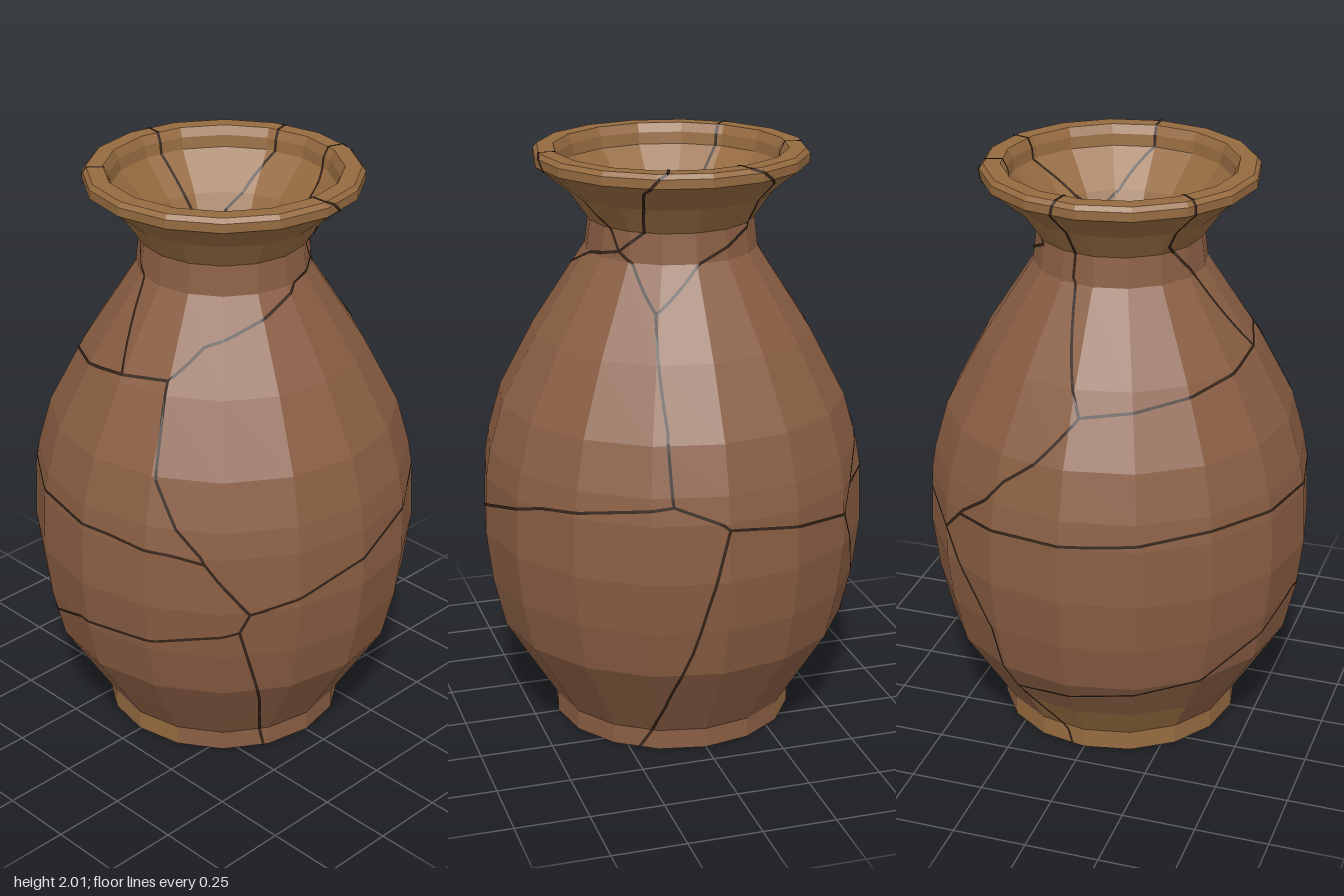
import * as THREE from 'three';

const SIDES = 16, STEP = (Math.PI * 2) / SIDES;
const paint = (name, color, extra = {}) =>
  Object.assign(new THREE.MeshStandardMaterial({ color, flatShading: true, ...extra }), { name });

// Pot outline as [radius, height]: up the outside, over the lip, down the inside
const PROFILE = [
  [0.415, 0], [0.415, 0.07], [0.49, 0.19], [0.595, 0.36], [0.635, 0.53], [0.657, 0.71],
  [0.65, 0.91], [0.635, 1.0], [0.59, 1.16], [0.47, 1.39], [0.29, 1.67], [0.278, 1.77],
  [0.34, 1.86], [0.43, 1.935], [0.458, 1.955], [0.458, 1.985], [0.445, 2.0],
  [0.39, 2.0], [0.375, 1.97], [0.37, 1.93], [0.26, 1.81], [0.23, 1.75],
  [0.25, 1.66], [0.43, 1.37], [0.55, 1.14], [0.61, 0.9], [0.61, 0.7], [0.55, 0.38], [0.38, 0.1], [0, 0.1],
];
const NECK = 11, LIP = 16, THROAT = 21;

// Flat-faced ring section between two outline points, over a range of sixteenths
function section(from, to, first = 0, count = SIDES) {
  const pts = PROFILE.slice(from, to + 1).map(([r, y]) => new THREE.Vector2(r, y));
  return new THREE.LatheGeometry(pts, count, first * STEP, count * STEP);
}

// Point on the faceted surface at angle a and outline position s
function surface(a, s) {
  const i = Math.min(Math.floor(s), PROFILE.length - 2), t = s - i;
  const [r0, y0] = PROFILE[i], [r1, y1] = PROFILE[i + 1];
  const local = (((a % STEP) + STEP) % STEP) - STEP / 2;
  const r = ((r0 + (r1 - r0) * t) * Math.cos(STEP / 2)) / Math.cos(local);
  return new THREE.Vector3(r * Math.sin(a), y0 + (y1 - y0) * t, r * Math.cos(a));
}

// Outline position on the outside wall for a height
function atHeight(y) {
  for (let i = 0; i < LIP; i++) {
    const y0 = PROFILE[i][1], y1 = PROFILE[i + 1][1];
    if (y <= y1) return i + (y - y0) / (y1 - y0);
  }
  return LIP;
}

// Narrow ribbon hugging the surface through [degrees, outline position] points
function crackGeometry(path) {
  const centre = [], normals = [], e = 1e-3;
  path.slice(1).forEach(([a1, s1], k) => {
    const [a0, s0] = path[k];
    const n = Math.ceil(Math.max(Math.abs(a1 - a0) / 2, Math.abs(s1 - s0) * 6, 2));
    for (let j = k ? 1 : 0; j <= n; j++) {
      const a = THREE.MathUtils.degToRad(a0 + ((a1 - a0) * j) / n), s = s0 + ((s1 - s0) * j) / n;
      const da = surface(a + e, s).sub(surface(a - e, s));
      const ds = surface(a, s + e).sub(surface(a, Math.max(s - e, 0)));
      const normal = da.cross(ds).normalize();
      normals.push(normal);
      centre.push(surface(a, s).addScaledVector(normal, 0.003));
    }
  });
  const pos = [], index = [];
  centre.forEach((p, i) => {
    const along = centre[Math.min(i + 1, centre.length - 1)].clone().sub(centre[Math.max(i - 1, 0)]);
    const side = along.cross(normals[i]).normalize().multiplyScalar(0.005);
    pos.push(...p.clone().sub(side).toArray(), ...p.clone().add(side).toArray());
    if (i) index.push(2 * i - 2, 2 * i - 1, 2 * i, 2 * i - 1, 2 * i + 1, 2 * i);
  });
  const g = new THREE.BufferGeometry();
  g.setAttribute('position', new THREE.Float32BufferAttribute(pos, 3));
  g.setIndex(index);
  g.computeVertexNormals();
  return g;
}

// Outside cracks as [degrees from the front, height]
const OUTER_CRACKS = [
  [[-37, 0.7], [0, 0.81], [74, 0.97], [90, 0.89], [135, 0.82]],
  [[-37, 0.7], [-40, 0.63], [-32, 0.3], [-27, 0.07], [-25, 0]],
  [[-40, 0.63], [-65, 0.57], [-94, 0.55], [-136, 0.36], [-203, 0.26]],
  [[-37, 0.7], [-50, 0.89], [-66, 1.15], [-68, 1.43], [-54, 1.53], [0, 1.65], [37, 1.7]],
  [[37, 1.7], [66, 1.53], [72, 1.2], [74, 0.97]],
  [[90, 0.89], [80, 0.45], [58, 0]],
  [[135, 0.82], [155, 0.52], [157, 0.26], [172, 0.05], [174, 0]],
  [[135, 0.82], [142, 0.9], [160, 1.08], [183, 1.31], [270, 1.41], [292, 1.43]],
  [[142, 0.9], [190, 0.92], [225, 0.95], [280, 0.93], [310, 0.89]],
  [[183, 1.31], [166, 1.69], [171, 2]],
  [[270, 1.41], [229, 1.8], [228, 2]],
  [[66, 1.53], [136, 1.76], [107, 2]],
  [[37, 1.7], [17, 1.86], [0, 2]],
  [[37, 1.7], [55, 1.77], [72, 2]],
];
// Cracks running over the lip and down the throat: [degrees at lip, degrees at throat]
const LIP_CRACKS = [[0, 38], [72, 40], [107, 135], [171, 162], [228, 235]];

export function createModel() {
  const model = new THREE.Group();
  const brown = paint('brown clay', 0x8a5e43);
  const tan = paint('tan clay', 0x966b40);
  const dark = paint('crack shadow', 0x35241a, { side: THREE.DoubleSide });
  const add = (name, geometry, material, parent = model) => {
    const mesh = new THREE.Mesh(geometry, material);
    mesh.name = name;
    parent.add(mesh);
    return mesh;
  };

  // Foot, with a tan shard at the back
  add('foot', section(0, 1, 13, 9), brown);
  add('footShard', section(0, 1, 6, 7), tan);
  add('lowerBody', section(1, 2, 10, 13), brown);
  add('lowerBodyShard', section(1, 2, 7, 3), tan);

  // Body, neck with lip, and hollow inside
  add('body', section(2, NECK), brown);
  add('neckAndLip', section(NECK, THROAT), tan);
  add('inside', section(THROAT, PROFILE.length - 1), brown);

  // Underside in two halves
  for (const [name, start, material] of [['baseHalf', 0, brown], ['baseShard', 8, tan]]) {
    const half = new THREE.LatheGeometry(
      [new THREE.Vector2(0, 0), new THREE.Vector2(0.415, 0)], 8, start * STEP, Math.PI);
    add(name, half, material);
  }

  // Cracks
  const cracks = new THREE.Group();
  cracks.name = 'cracks';
  model.add(cracks);
  OUTER_CRACKS.forEach((path) =>
    add('wallCrack', crackGeometry(path.map(([a, y]) => [a, atHeight(y)])), dark, cracks));
  LIP_CRACKS.forEach(([a, b]) =>
    add('lipCrack', crackGeometry([[a, LIP], [a, LIP + 3], [b, THROAT]]), dark, cracks));
  add('throatCrack', crackGeometry([[38, THROAT - 0.3], [0, THROAT - 0.1], [-18, THROAT]]), dark, cracks);
  const floorCrack = add('floorCrack', new THREE.BoxGeometry(0.012, 0.006, 0.5), dark, cracks);
  floorCrack.position.set(-0.025, 0.102, 0);
  floorCrack.rotation.y = -0.2;
  const baseCrack = add('baseCrack', new THREE.BoxGeometry(0.01, 0.004, 0.8), dark, cracks);
  baseCrack.position.y = 0.001;

  return model;
}
